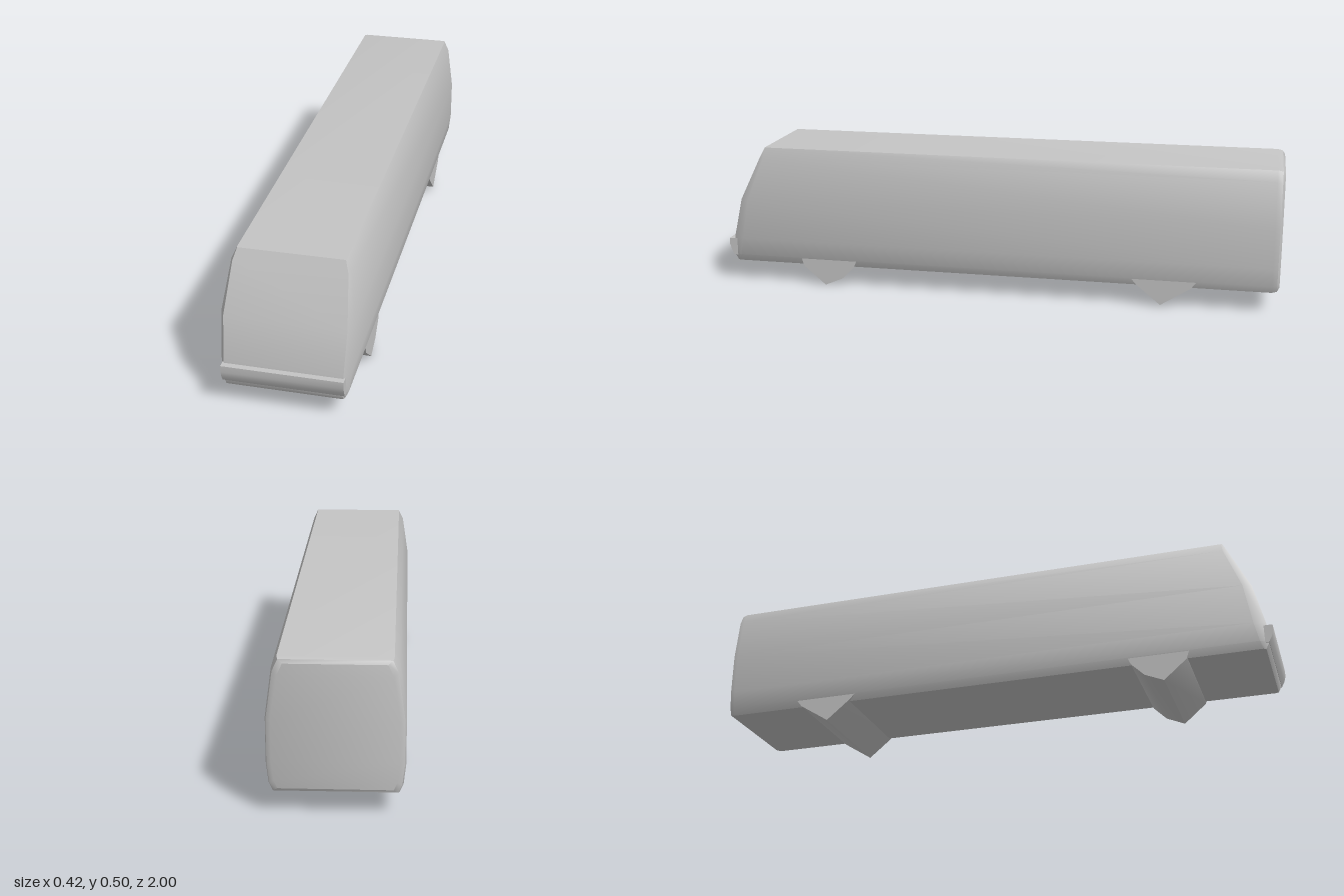
import * as THREE from 'three';
import { toCreasedNormals } from 'three/addons/utils/BufferGeometryUtils.js';

const paint = new THREE.MeshStandardMaterial({ color: 0xc4c4c4 });
paint.name = 'plain grey';

// Half section from floor to roof: half width, height, nose z, nose corner depth
const SECTION = [
  [0.192, 0.075, 0.972, 0.01],
  [0.203, 0.1, 0.985, 0.03],
  [0.21, 0.165, 0.98, 0.04],
  [0.21, 0.31, 0.945, 0.03],
  [0.189, 0.465, 0.872, 0.015],
  [0.172, 0.502, 0.855, 0.004],
];

// Closed ring of points: up the left side, down the right side
function ring(place) {
  const half = SECTION.map(place);
  return [...half, ...half.map(([x, y, z]) => [-x, y, z]).reverse()];
}

// Body shell lofted along z, with bevelled tail and raked nose
function bodyGeometry() {
  const shrink = (v, mid, by) => v + Math.sign(mid - v) * by;
  const rings = [
    ring(([x, y]) => [x - 0.018, shrink(y, 0.29, y > 0.2 && y < 0.4 ? 0 : 0.015), -1]),
    ring(([x, y]) => [x - 0.004, shrink(y, 0.29, y > 0.2 && y < 0.4 ? 0 : 0.004), -0.992]),
    ring(([x, y]) => [x, y, -0.975]),
    ring(([x, y, z, d]) => [x, y, z - d]),
    ring(([x, y, z, d]) => [x - d * 0.5, y, z]),
  ];
  const n = rings[0].length;
  const index = [];
  const quad = (a, b, c, d) => index.push(a, b, c, a, c, d);
  for (let i = 0; i < rings.length - 1; i++) {
    for (let j = 0; j < n; j++) {
      const k = (j + 1) % n;
      quad(i * n + j, i * n + k, (i + 1) * n + k, (i + 1) * n + j);
    }
  }
  // Tail and nose are closed with strips running across the width
  const last = (rings.length - 1) * n;
  for (let j = 0; j < n / 2 - 1; j++) {
    quad(j, n - 1 - j, n - 2 - j, j + 1);
    quad(last + j, last + j + 1, last + n - 2 - j, last + n - 1 - j);
  }
  const geometry = new THREE.BufferGeometry();
  geometry.setAttribute('position', new THREE.Float32BufferAttribute(rings.flat(2), 3));
  geometry.setIndex(index);
  return toCreasedNormals(geometry, 0.6);
}

// Side profile of [z, y] points extruded across the width
function across(profile, width) {
  const shape = new THREE.Shape(profile.map(([z, y]) => new THREE.Vector2(-z, y)));
  const geometry = new THREE.ExtrudeGeometry(shape, { depth: width, bevelEnabled: false });
  geometry.translate(0, 0, -width / 2).rotateY(Math.PI / 2);
  return toCreasedNormals(geometry, 0.6);
}

export function createModel() {
  const group = new THREE.Group();
  const add = (name, geometry) => {
    const mesh = new THREE.Mesh(geometry, paint);
    mesh.name = name;
    group.add(mesh);
  };

  add('body', bodyGeometry());

  // Rounded bumper lip on the nose
  add('frontBumper', across([
    [0.96, 0.095], [0.984, 0.096], [0.994, 0.115], [1, 0.135], [1, 0.158], [0.96, 0.158],
  ], 0.39));

  // Full-width wedges standing in for the wheels
  add('frontWheels', across([
    [0.72, 0.1], [0.71, 0.07], [0.63, 0.002], [0.565, 0.03], [0.52, 0.075], [0.51, 0.1],
  ], 0.404));
  add('rearWheels', across([
    [-0.49, 0.1], [-0.51, 0.078], [-0.595, 0.008], [-0.7, 0.075], [-0.72, 0.1],
  ], 0.404));

  return group;
}
